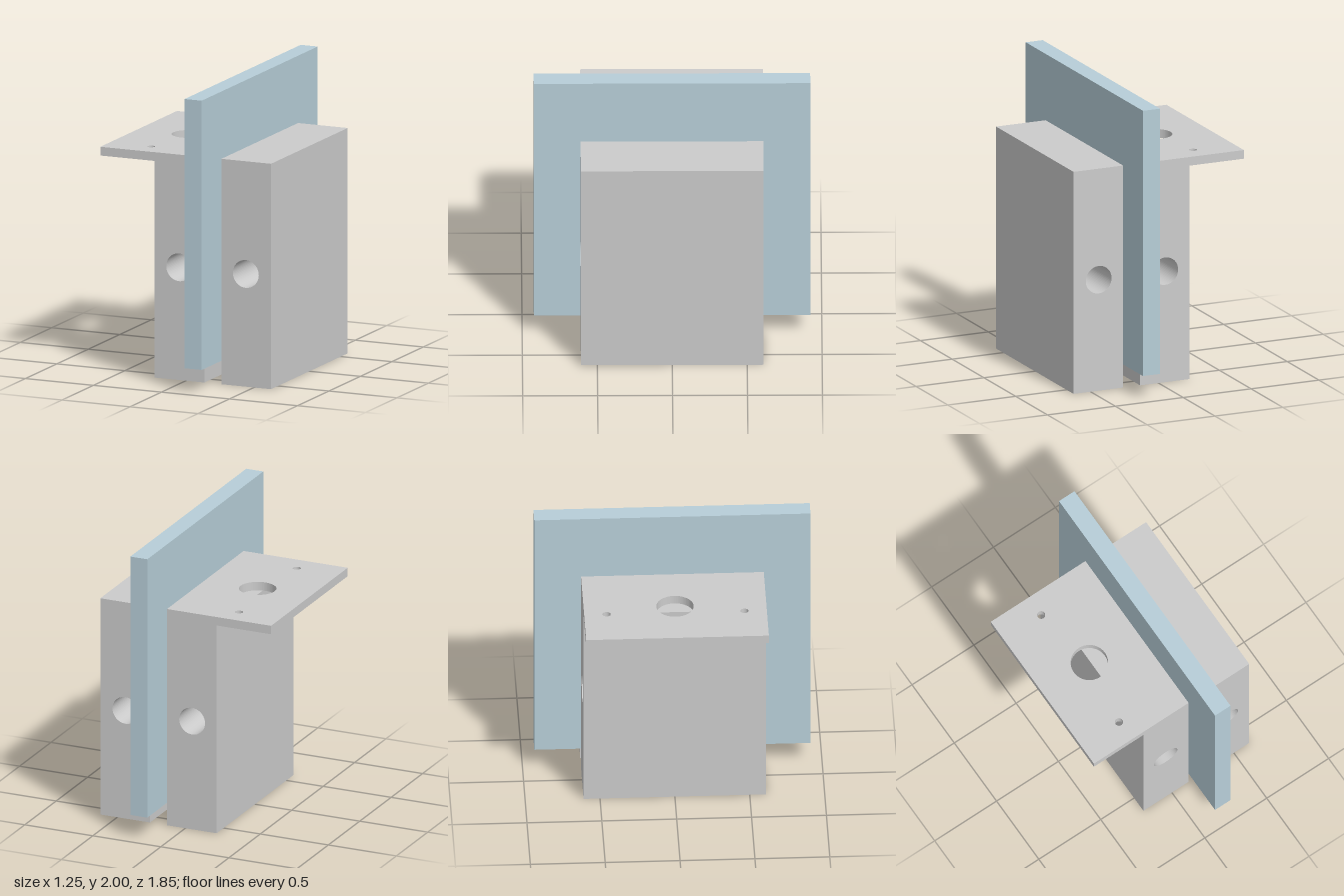
import * as THREE from 'three';

const GREY = 0xcccccc, PANEL = 0xb7ced8, ROD = 0x858188;
const DEPTH = 1.22, HOLE_Y = 0.77, TOP = 1.54, FLANGE = 0.06;

function add(parent, name, geometry, color = GREY) {
  const mesh = new THREE.Mesh(geometry, new THREE.MeshStandardMaterial({ color }));
  mesh.name = name;
  parent.add(mesh);
  return mesh;
}

// Rectangle with round holes [x, y, radius], extruded along +z
function drilledSlab(x0, y0, x1, y1, depth, holes) {
  const shape = new THREE.Shape();
  shape.moveTo(x0, y0).lineTo(x1, y0).lineTo(x1, y1).lineTo(x0, y1).closePath();
  for (const [x, y, r] of holes) {
    shape.holes.push(new THREE.Path().absarc(x, y, r, 0, Math.PI * 2, true));
  }
  return new THREE.ExtrudeGeometry(shape, { depth, bevelEnabled: false, curveSegments: 32 });
}

// Clamp block with a long bore and a short rod floating inside it
function addBlock(parent, name, x0, x1, height, holeX) {
  const block = new THREE.Group();
  block.name = name;
  parent.add(block);
  const body = drilledSlab(x0, 0, x1, height, DEPTH, [[holeX, HOLE_Y, 0.095]]);
  add(block, name + 'Body', body.translate(0, 0, -DEPTH / 2));
  const rod = new THREE.CylinderGeometry(0.037, 0.037, 0.6, 32).rotateX(Math.PI / 2);
  add(block, name + 'Rod', rod.translate(holeX, HOLE_Y, 0), ROD);
}

export function createModel() {
  const model = new THREE.Group();
  model.name = 'panelClamp';

  // Two blocks gripping the panel
  addBlock(model, 'flangedBlock', -0.23, 0.135, TOP - FLANGE, -0.05);
  addBlock(model, 'plainBlock', 0.26, 0.625, TOP, 0.44);

  // Mounting flange capping the first block, with a large hole and two screw holes
  const flange = drilledSlab(-0.63, -DEPTH / 2, 0.135, DEPTH / 2, FLANGE, [
    [-0.25, 0, 0.125], [-0.325, 0.46, 0.027], [-0.325, -0.46, 0.027],
  ]);
  add(model, 'mountingFlange', flange.rotateX(-Math.PI / 2).translate(0, TOP - FLANGE, 0));

  // Upright panel
  add(model, 'panel', new THREE.BoxGeometry(0.125, 1.84, 1.845), PANEL).position.set(0.1975, 1.08, 0);

  return model;
}
